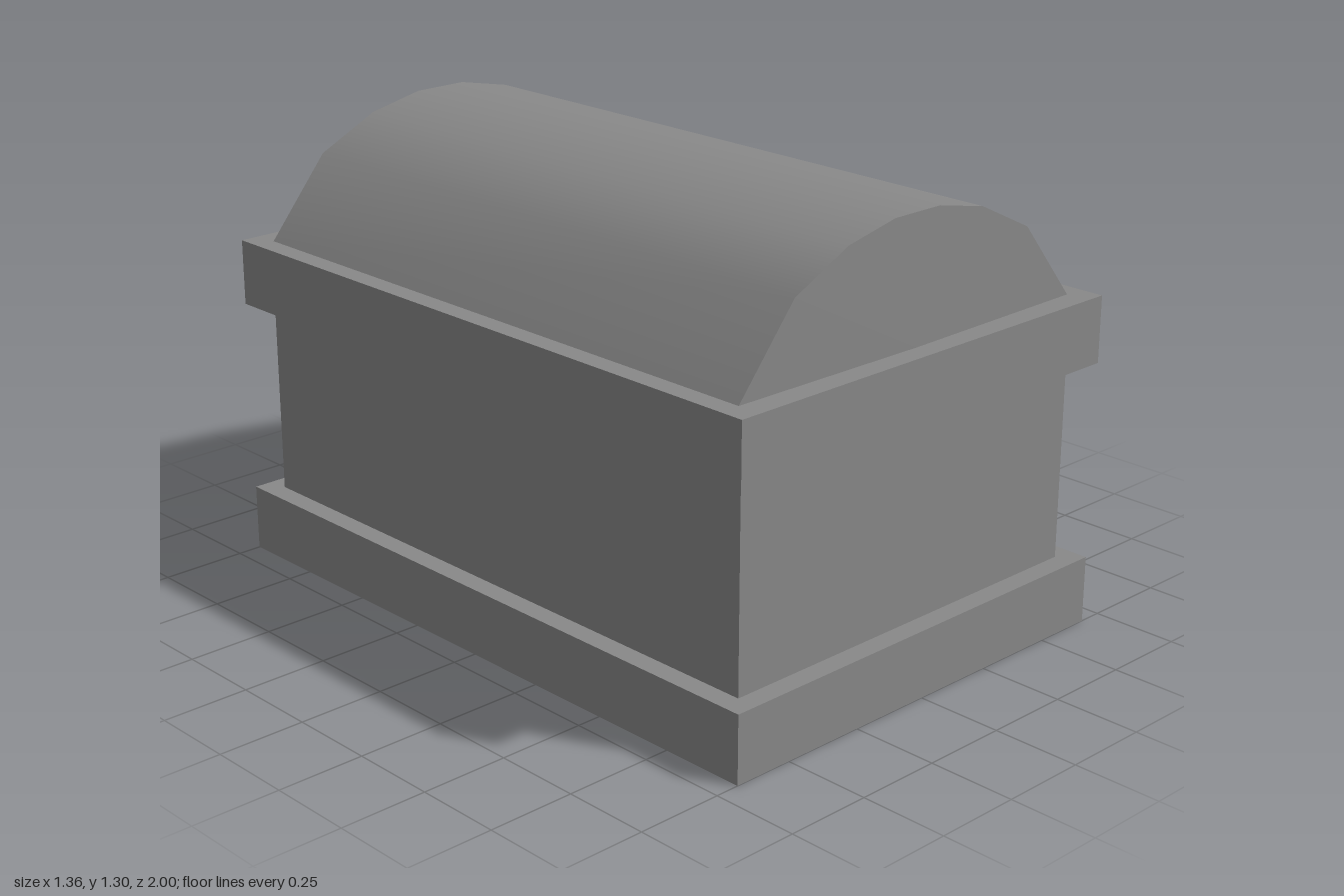
import * as THREE from 'three';

const flat = new THREE.MeshStandardMaterial({ color: 0x888888, flatShading: true, side: THREE.DoubleSide });
const smooth = new THREE.MeshStandardMaterial({ color: 0x888888, side: THREE.DoubleSide });

function buildGeometry(pos, index) {
  const geo = new THREE.BufferGeometry();
  geo.setAttribute('position', new THREE.Float32BufferAttribute(pos, 3));
  geo.setIndex(index);
  geo.computeVertexNormals();
  return geo;
}

// Rectangular shell swept through [halfWidth, y, halfDepth] levels, open at both ends
function rectShell(levels) {
  const corners = [[1, 1], [1, -1], [-1, -1], [-1, 1]];
  const pos = [], index = [];
  levels.forEach(([w, y, d], i) => {
    corners.forEach(([sx, sz], k) => {
      pos.push(w * sx, y, d * sz);
      if (i === 0) return;
      const next = (k + 1) % 4, low = (i - 1) * 4, high = i * 4;
      index.push(low + k, low + next, high + next, low + k, high + next, high + k);
    });
  });
  return buildGeometry(pos, index);
}

// Lid arch, from the left edge over the top to the right edge
const half = [[0.62, 0.95], [0.435, 1.175], [0.25, 1.265], [0.083, 1.3]];
const arch = [...half, ...half.map(([x, y]) => [-x, y]).reverse()];
const lidZ = 0.93;

function vaultGeometry() {
  const pos = [], index = [];
  arch.forEach(([x, y], i) => {
    pos.push(x, y, lidZ, x, y, -lidZ);
    if (i === 0) return;
    const f = (i - 1) * 2;
    index.push(f, f + 1, f + 3, f, f + 3, f + 2);
  });
  return buildGeometry(pos, index);
}

// Lid end: a fan that swells slightly towards the middle of its base
function lidEndGeometry() {
  const pos = [0, 0.95, 0.94], index = [];
  arch.forEach(([x, y], i) => {
    pos.push(x, y, lidZ);
    if (i > 0) index.push(0, i, i + 1);
  });
  return buildGeometry(pos, index);
}

export function createModel() {
  const group = new THREE.Group();
  group.name = 'chest';
  const add = (name, geo, mat) => {
    const mesh = new THREE.Mesh(geo, mat);
    mesh.name = name;
    group.add(mesh);
    return mesh;
  };

  // Hollow body, open underneath: plinth with ledge, walls, rim band with both ledges
  add('basePlinth', rectShell([[0.68, 0, 1], [0.68, 0.193, 1], [0.62, 0.193, 0.94]]), flat);
  add('bodyWalls', rectShell([[0.62, 0.193, 0.94], [0.62, 0.76, 0.94]]), flat);
  add('rimBand', rectShell([[0.62, 0.76, 0.94], [0.68, 0.76, 1], [0.68, 0.95, 1], [0.62, 0.95, lidZ]]), flat);

  // Arched lid with its two ends
  add('lidVault', vaultGeometry(), smooth);
  add('lidFrontEnd', lidEndGeometry(), flat);
  add('lidBackEnd', lidEndGeometry(), flat).rotation.y = Math.PI;

  return group;
}
